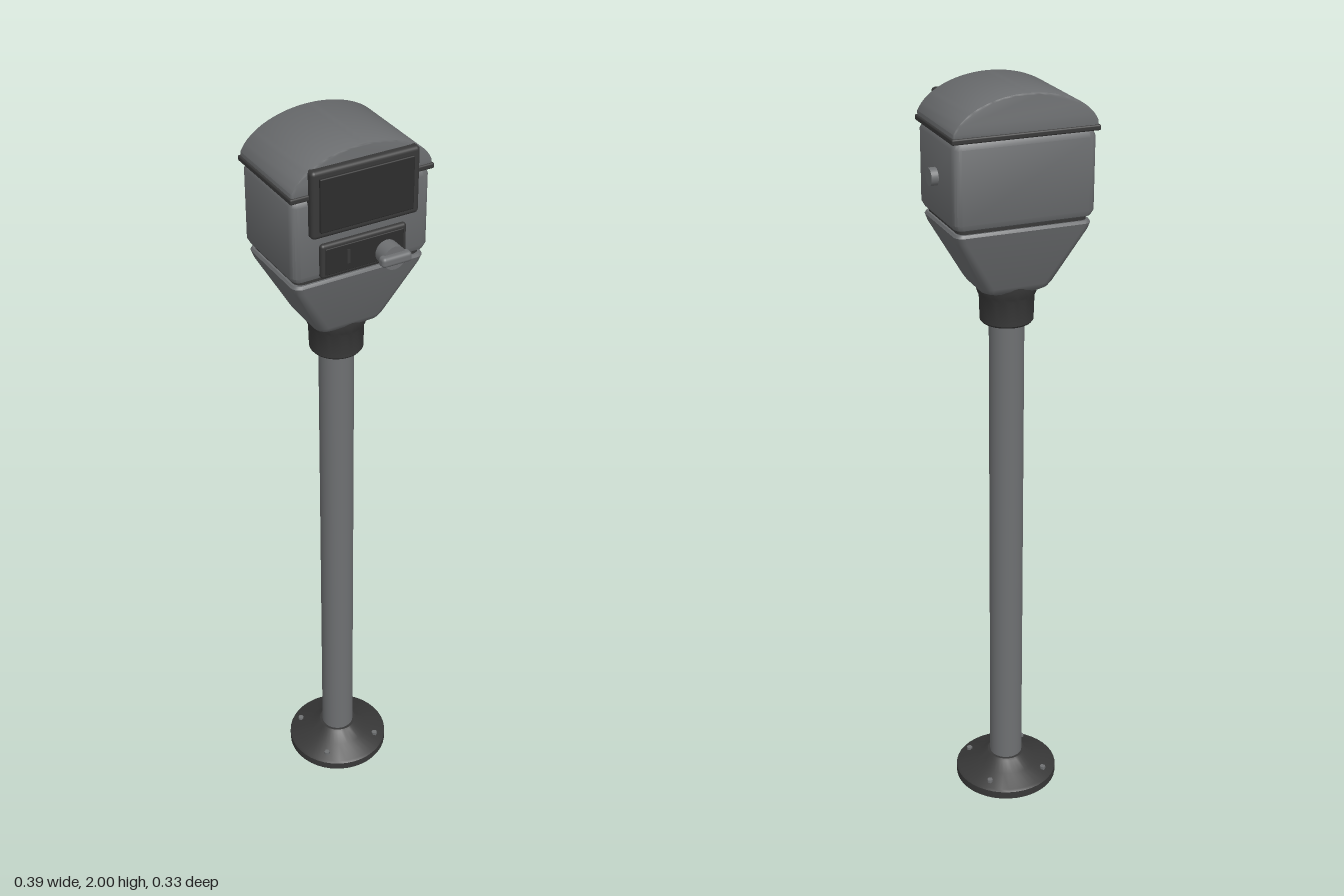
import * as THREE from 'three';
import { toCreasedNormals } from 'three/addons/utils/BufferGeometryUtils.js';
import { RoundedBoxGeometry } from 'three/addons/geometries/RoundedBoxGeometry.js';

const mat = (name, color) => {
  const m = new THREE.MeshStandardMaterial({ color });
  m.name = name;
  return m;
};

// Closed solid through rounded-rectangle sections [y, halfX, halfZ, cornerRadius]
function loft(sections, seg = 5) {
  const pos = [], idx = [], n = 4 * (seg + 1);
  const corners = [[1, 1], [-1, 1], [-1, -1], [1, -1]];
  for (const [y, hx, hz, r] of sections) {
    corners.forEach(([sx, sz], c) => {
      for (let i = 0; i <= seg; i++) {
        const a = (c + i / seg) * Math.PI / 2;
        pos.push(sx * (hx - r) + r * Math.cos(a), y, sz * (hz - r) + r * Math.sin(a));
      }
    });
  }
  for (let s = 0; s < sections.length - 1; s++) {
    for (let i = 0; i < n; i++) {
      const a = s * n + i, b = s * n + (i + 1) % n;
      idx.push(a, a + n, b, b, a + n, b + n);
    }
  }
  const top = (sections.length - 1) * n;
  for (let i = 1; i < n - 1; i++) {
    idx.push(0, i, i + 1, top, top + i + 1, top + i);
  }
  const g = new THREE.BufferGeometry();
  g.setAttribute('position', new THREE.Float32BufferAttribute(pos, 3));
  g.setIndex(idx);
  return toCreasedNormals(g, 0.6);
}

const lathe = (pts) => toCreasedNormals(
  new THREE.LatheGeometry(pts.map(([r, y]) => new THREE.Vector2(r, y)), 40), 0.5);

export function createModel() {
  const housing = mat('housingGrey', 0x6a6c6e);
  const steel = mat('poleSteel', 0x6e7072);
  const dark = mat('darkTrim', 0x383838);
  const glass = mat('screenGlass', 0x2c2c2c);

  const model = new THREE.Group();
  model.name = 'parkingMeter';
  const add = (name, geo, material, x = 0, y = 0, z = 0) => {
    const m = new THREE.Mesh(geo, material);
    m.name = name;
    m.position.set(x, y, z);
    model.add(m);
    return m;
  };

  // Foot with bolts, pole and collar
  add('baseFlange', lathe([[0, 0], [0.142, 0], [0.142, 0.022], [0.136, 0.027],
    [0.085, 0.043], [0.058, 0.068], [0.052, 0.072], [0, 0.072]]), dark);
  for (let i = 0; i < 4; i++) {
    const a = Math.PI / 4 + i * Math.PI / 2;
    add('baseBolt', new THREE.CylinderGeometry(0.008, 0.008, 0.012, 6), steel,
      0.115 * Math.cos(a), 0.035, 0.115 * Math.sin(a));
  }
  add('pole', new THREE.CylinderGeometry(0.045, 0.045, 1.36, 32), steel, 0, 0.74, 0);
  add('collar', lathe([[0, 1.4], [0.064, 1.4], [0.068, 1.405], [0.07, 1.47],
    [0.074, 1.478], [0.08, 1.5], [0.08, 1.515], [0, 1.515]]), dark);

  // Tapered lower housing
  add('lowerHousing', loft([[1.495, 0.075, 0.068, 0.03], [1.502, 0.087, 0.077, 0.03],
    [1.515, 0.096, 0.083, 0.03], [1.65, 0.17, 0.117, 0.022],
    [1.668, 0.176, 0.122, 0.022], [1.675, 0.172, 0.118, 0.02]]), housing);
  add('gasket', loft([[1.67, 0.167, 0.113, 0.02], [1.69, 0.167, 0.113, 0.02]]), dark);

  // Main housing with softened top and bottom edges
  add('mainHousing', loft([[1.683, 0.166, 0.113, 0.015], [1.687, 0.175, 0.12, 0.018],
    [1.7, 0.182, 0.125, 0.02], [1.88, 0.182, 0.125, 0.02],
    [1.892, 0.177, 0.12, 0.018], [1.9, 0.168, 0.113, 0.015]]), housing);

  // Lid rim and barrel-shaped lid
  add('lidRim', new RoundedBoxGeometry(0.375, 0.014, 0.26, 2, 0.004), dark, 0, 1.902, 0);
  const arch = new THREE.Shape();
  arch.moveTo(-0.178, 1.908);
  arch.lineTo(0.178, 1.908);
  arch.lineTo(0.178, 1.918);
  arch.bezierCurveTo(0.155, 1.965, 0.08, 1.995, 0, 1.995);
  arch.bezierCurveTo(-0.08, 1.995, -0.155, 1.965, -0.178, 1.918);
  const lid = new THREE.ExtrudeGeometry(arch, { depth: 0.242, curveSegments: 16,
    bevelSize: 0.005, bevelThickness: 0.005, bevelSegments: 2 });
  lid.translate(0, 0, -0.121);
  add('domedLid', toCreasedNormals(lid, 0.6), housing);

  // Display on the front face
  add('displayFrame', new RoundedBoxGeometry(0.282, 0.168, 0.04, 3, 0.01), dark, 0, 1.884, 0.124);
  add('displayGlass', new RoundedBoxGeometry(0.245, 0.134, 0.008, 2, 0.003), glass, 0, 1.884, 0.146);

  // Coin panel with slot and turning knob
  add('coinPanel', new RoundedBoxGeometry(0.228, 0.088, 0.028, 3, 0.008), dark, 0, 1.733, 0.122);
  add('coinPlate', new RoundedBoxGeometry(0.208, 0.068, 0.006, 2, 0.002), glass, 0, 1.733, 0.136);
  add('coinSlot', new THREE.BoxGeometry(0.008, 0.036, 0.006), dark, -0.045, 1.735, 0.138);
  const stem = new THREE.CylinderGeometry(0.03, 0.03, 0.045, 28).rotateX(Math.PI / 2);
  add('knobDisc', stem, steel, 0.057, 1.72, 0.155);
  add('knobHandle', new RoundedBoxGeometry(0.08, 0.026, 0.026, 3, 0.009), steel, 0.057, 1.72, 0.179);

  // Lock on the left side
  const lock = new THREE.CylinderGeometry(0.022, 0.022, 0.03, 28).rotateZ(Math.PI / 2);
  add('sideLock', lock, steel, 0.185, 1.79, 0);

  // Shift so the knob and lock count towards centring
  for (const part of model.children) {
    part.position.x -= 0.007;
    part.position.z -= 0.025;
  }
  return model;
}
